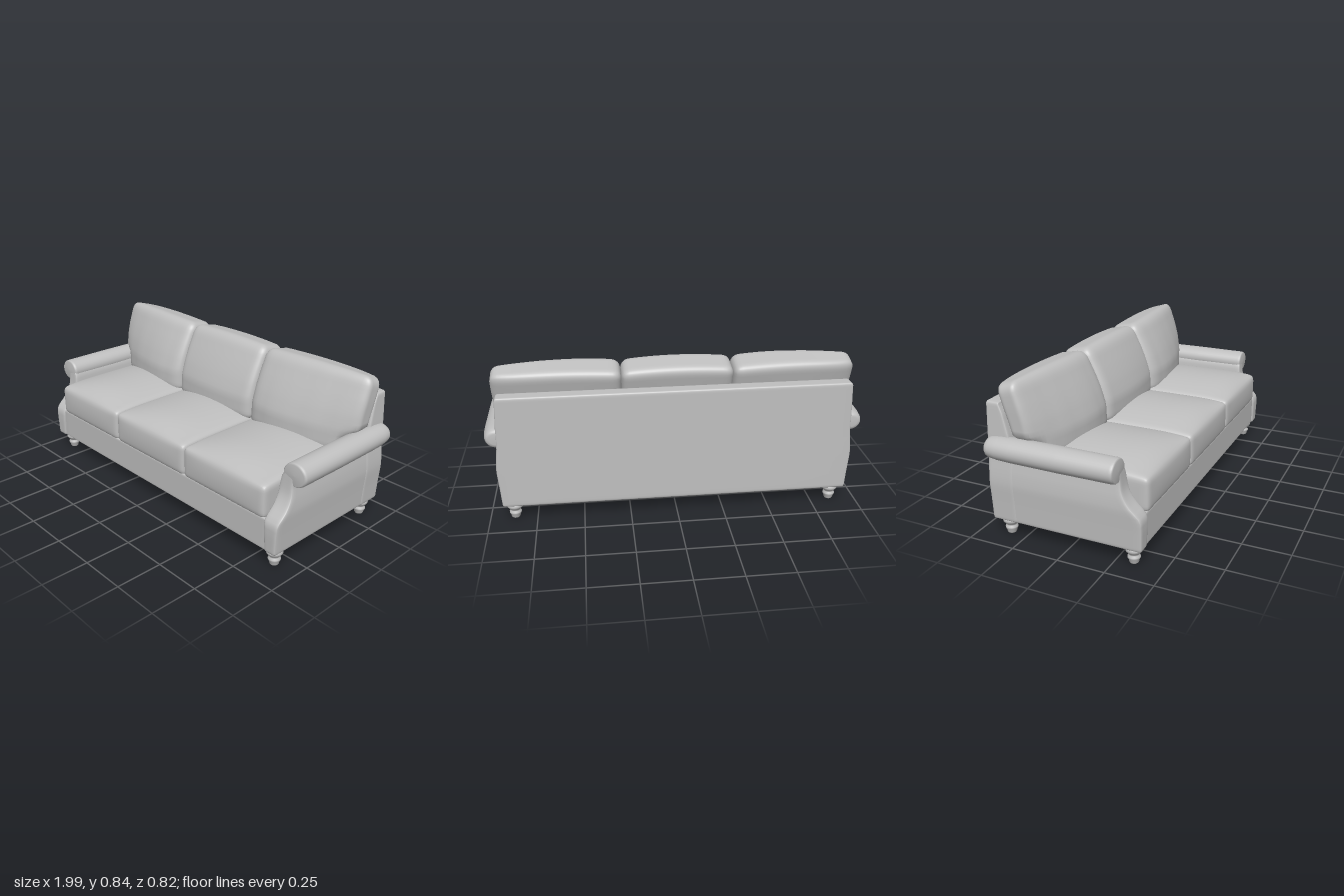
import * as THREE from 'three';
import { mergeVertices } from 'three/addons/utils/BufferGeometryUtils.js';

const fabric = new THREE.MeshStandardMaterial({ color: 0xbfbfbf });
fabric.name = 'grey fabric';

// Piecewise linear lookup in [[key, value], ...]
function lookup(table, k) {
  if (k <= table[0][0]) return table[0][1];
  for (let i = 1; i < table.length; i++) {
    const [k0, v0] = table[i - 1], [k1, v1] = table[i];
    if (k <= k1) return v0 + (v1 - v0) * (k - k0) / (k1 - k0);
  }
  return table[table.length - 1][1];
}

// Rounded box from min to max corner, reshaped by rule(point, u, v, w), u v w in -1..1
function softBox(min, max, r, rule, segs = [20, 16, 20]) {
  const half = max.map((m, i) => (m - min[i]) / 2);
  const mid = new THREE.Vector3(...max.map((m, i) => (m + min[i]) / 2));
  let geo = new THREE.BoxGeometry(2, 2, 2, ...segs);
  geo.deleteAttribute('uv');
  geo.deleteAttribute('normal');
  geo = mergeVertices(geo, 1e-5);
  const pos = geo.attributes.position;
  const h = new THREE.Vector3(...half);
  const inner = h.clone().subScalar(r);
  const p = new THREE.Vector3(), core = new THREE.Vector3();
  for (let i = 0; i < pos.count; i++) {
    p.fromBufferAttribute(pos, i);
    // crowd the grid towards the edges
    p.set(...p.toArray().map((t) => Math.sin(t * Math.PI / 2))).multiply(h);
    core.copy(p).clamp(inner.clone().negate(), inner);
    p.sub(core).setLength(r).add(core);
    const uvw = [p.x / h.x, p.y / h.y, p.z / h.z];
    p.add(mid);
    if (rule) rule(p, ...uvw);
    pos.setXYZ(i, p.x, p.y, p.z);
  }
  geo.computeVertexNormals();
  return geo;
}

// Arm panel limits and back frame shape by height
const ARM_INNER = [[0.1, 0.852], [0.28, 0.842], [0.42, 0.842], [0.47, 0.85], [0.53, 0.885]];
const ARM_OUTER = [[0.1, 0.922], [0.2, 0.928], [0.3, 0.936], [0.36, 0.932], [0.43, 0.922], [0.53, 0.93]];
const ARM_FRONT = [[0.1, 0.402], [0.2, 0.405], [0.26, 0.403], [0.285, 0.38], [0.31, 0.353],
  [0.34, 0.328], [0.37, 0.312], [0.4, 0.303], [0.44, 0.298], [0.53, 0.29]];
const FRAME_SIDE = [[0.1, 0.925], [0.2, 0.931], [0.3, 0.939], [0.36, 0.935], [0.43, 0.926], [0.55, 0.922], [0.71, 0.912]];
const FRAME_FRONT = [[0.45, -0.265], [0.55, -0.284], [0.66, -0.316], [0.7, -0.335]];
// Back cushion front surface by height, and how far it falls back from the seam to the arm
const CUSHION_FRONT = [[0.45, -0.05], [0.55, -0.054], [0.63, -0.082], [0.7, -0.118], [0.78, -0.165], [0.83, -0.195]];
const CUSHION_DROP = [[0, 0.025], [0.1, 0.008], [0.25, 0], [0.4, 0.005], [0.63, 0.03], [0.85, 0.07], [1, 0.11]];

export function createModel() {
  const sofa = new THREE.Group();
  sofa.name = 'sofa';
  const add = (name, geo, x = 0, y = 0, z = 0) => {
    const mesh = new THREE.Mesh(geo, fabric);
    mesh.name = name;
    mesh.position.set(x, y, z);
    sofa.add(mesh);
  };

  // Base: front rail and deck
  add('frontRail', softBox([-0.86, 0.093, 0.33], [0.86, 0.266, 0.393], 0.008));
  add('seatDeck', new THREE.BoxGeometry(1.7, 0.155, 0.66).translate(0, 0.1775, 0.02));

  // Back frame, thinning towards the top
  add('backFrame', softBox([-1, 0.092, -0.408], [1, 0.712, -0.265], 0.015, (p, u, v, w) => {
    p.z = -0.408 + (w + 1) / 2 * (lookup(FRAME_FRONT, p.y) + 0.408);
    p.x *= lookup(FRAME_SIDE, p.y);
  }, [20, 32, 16]));

  // Arms: shaped side panel with a padded roll on top
  const rollProfile = [[0, -0.4], [0.03, -0.4], [0.042, -0.396], [0.049, -0.388], [0.054, -0.37], [0.0585, -0.33],
    [0.0605, -0.25], [0.062, 0], [0.061, 0.275], [0.059, 0.287], [0.053, 0.294], [0, 0.296]]
    .map(([r, z]) => new THREE.Vector2(r, z));
  for (const side of [1, -1]) {
    const label = side > 0 ? 'left' : 'right';
    add(label + 'ArmPanel', softBox([-0.045, 0.092, -0.4], [0.045, 0.53, 0.4], 0.015, (p, u) => {
      const a = (u * side + 1) / 2;
      const xin = lookup(ARM_INNER, p.y), xout = lookup(ARM_OUTER, p.y);
      p.x = side * (xin + a * (xout - xin));
      if (p.z > 0) p.z *= lookup(ARM_FRONT, p.y) / 0.4;
    }, [10, 32, 20]));
    const roll = new THREE.LatheGeometry(rollProfile, 32);
    roll.rotateX(Math.PI / 2).scale(1.13, 1, 1);
    add(label + 'ArmRoll', roll, side * 0.923, 0.488, 0);
  }

  // Seat cushions with a soft crown
  const seatEdges = [-0.842, -0.293, 0.275, 0.842];
  for (let i = 0; i < 3; i++) {
    add('seatCushion' + (i + 1), softBox([seatEdges[i], 0.257, -0.25], [seatEdges[i + 1], 0.43, 0.4], 0.026,
      (p, u, v, w) => {
        if (v > 0) p.y += v * (1 - w ** 4) * (0.046 * (1 - u * u) + 0.008);
        if (w > 0) p.z += 0.009 * w * (1 - v * v) * (1 - u ** 4);
      }, [24, 14, 24]));
  }

  // Leaning back cushions, outer ones thinning towards the arms
  const backEdges = [-0.938, -0.298, 0.28, 0.938];
  for (let i = 0; i < 3; i++) {
    const side = i - 1;
    add('backCushion' + (i + 1), softBox([backEdges[i], 0.42, -0.1], [backEdges[i + 1], 0.815, 0.1], 0.045,
      (p, u, v, w) => {
        const s = (w + 1) / 2;
        const out = (u * side + 1) / 2;
        const drop = side ? lookup(CUSHION_DROP, out) : 0.025 * u * u;
        const back = -0.281 - 0.27 * (p.y - 0.52) + (side ? 0.03 * out ** 8 : 0);
        const front = lookup(CUSHION_FRONT, p.y) - drop * lookup([[0.55, 1], [0.82, 0.45]], p.y);
        p.z = back + s * (front - back);
        // crowned top edge, sloping down to the rear
        if (v > 0) p.y += v * (0.013 * (1 - u * u) + 0.035 * (s - 0.55));
        // notch beside the arm
        const edge = side * p.x;
        if (side && edge > 0.83) p.x = side * (0.83 + (edge - 0.83) * lookup([[0.5, 0.2], [0.56, 0.93], [0.7, 1]], p.y));
      }, [24, 24, 16]));
  }

  // Turned feet
  const footProfile = [[0, 0], [0.02, 0], [0.024, 0.006], [0.026, 0.018], [0.032, 0.028], [0.032, 0.035], [0.026, 0.043],
    [0.025, 0.049], [0.033, 0.056], [0.041, 0.065], [0.043, 0.073], [0.041, 0.082], [0.036, 0.09], [0.034, 0.105]]
    .map(([r, y]) => new THREE.Vector2(r, y));
  const foot = new THREE.LatheGeometry(footProfile, 24);
  for (const x of [0.867, -0.86]) {
    for (const z of [0.337, -0.345]) {
      add((z > 0 ? 'front' : 'back') + (x > 0 ? 'Left' : 'Right') + 'Foot', foot, x, 0, z);
    }
  }
  return sofa;
}
